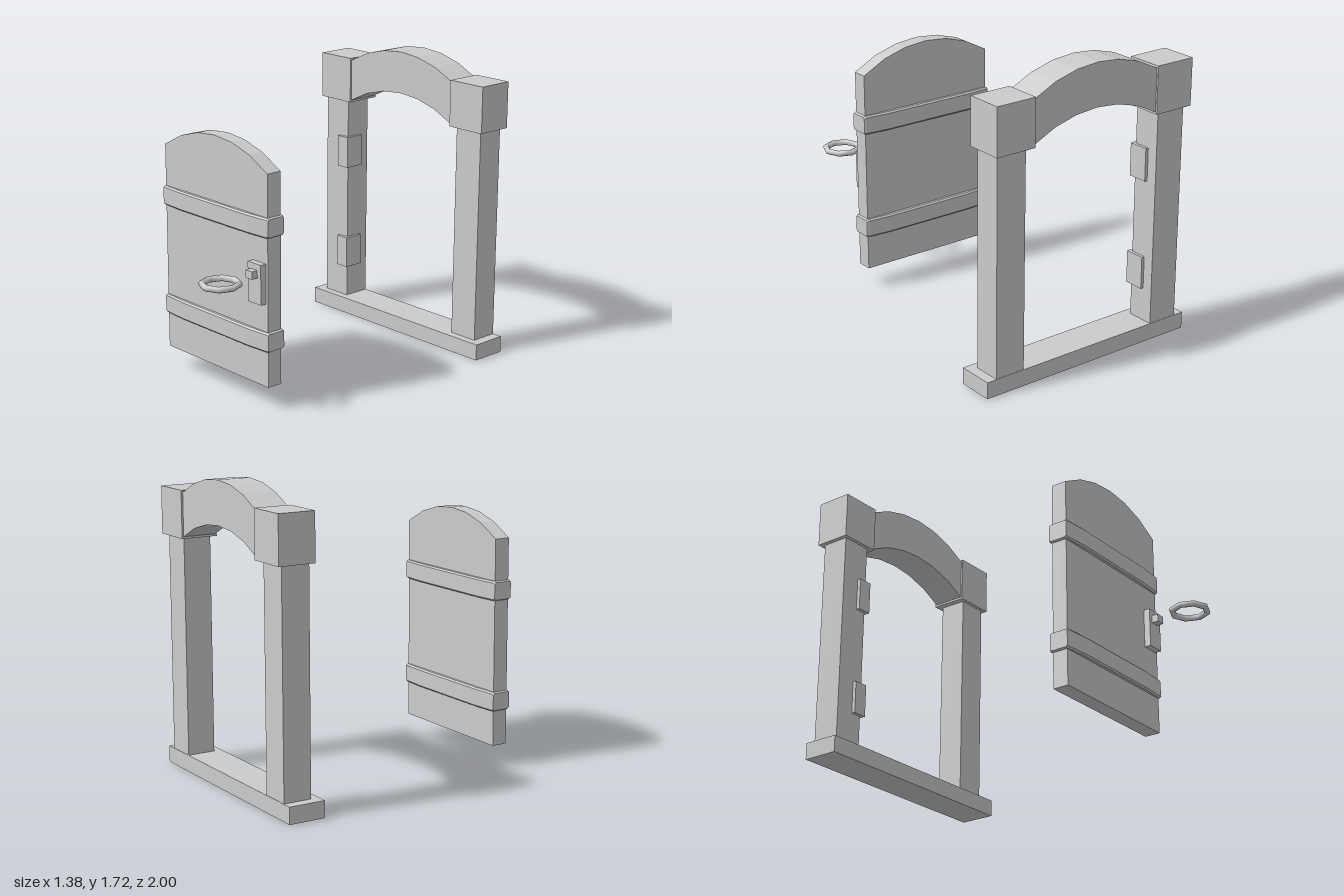
import * as THREE from 'three';
import { ConvexGeometry } from 'three/addons/geometries/ConvexGeometry.js';

const flat = new THREE.MeshStandardMaterial({ color: 0xcccccc, flatShading: true });
const smooth = new THREE.MeshStandardMaterial({ color: 0xcccccc });

function add(parent, name, geometry, material = flat) {
  const mesh = new THREE.Mesh(geometry, material);
  mesh.name = name;
  parent.add(mesh);
  return mesh;
}

// Box given by its lower and upper corner
function box(parent, name, [x0, y0, z0], [x1, y1, z1]) {
  const mesh = add(parent, name, new THREE.BoxGeometry(x1 - x0, y1 - y0, z1 - z0));
  mesh.position.set((x0 + x1) / 2, (y0 + y1) / 2, (z0 + z1) / 2);
  return mesh;
}

// Six-segment arched edge, from left to right
function arc(halfWidth, endY, midY) {
  const radius = (halfWidth ** 2 + (midY - endY) ** 2) / (2 * (midY - endY));
  return Array.from({ length: 7 }, (_, i) => {
    const x = halfWidth * (i / 3 - 1);
    return new THREE.Vector2(x, midY - radius + Math.sqrt(radius ** 2 - x ** 2));
  });
}

function slab(parent, name, points, z0, z1) {
  const geometry = new THREE.ExtrudeGeometry(new THREE.Shape(points), { depth: z1 - z0, bevelEnabled: false });
  geometry.translate(0, 0, z0);
  return add(parent, name, geometry);
}

// Chamfered strap that thins toward both ends
function strapGeometry() {
  const points = [];
  const c = 0.009;
  for (const [x, hy, hz] of [[0.443, 0.05, 0.056], [0.432, 0.056, 0.06], [0.28, 0.056, 0.071]]) {
    for (const sx of [-1, 1]) for (const sy of [-1, 1]) for (const sz of [-1, 1]) {
      points.push(new THREE.Vector3(sx * x, sy * (hy - c), sz * hz));
      points.push(new THREE.Vector3(sx * x, sy * hy, sz * (hz - c)));
    }
  }
  return new ConvexGeometry(points);
}

export function createModel() {
  const model = new THREE.Group();
  model.name = 'archedDoorway';

  // Frame
  const frame = new THREE.Group();
  frame.name = 'frame';
  model.add(frame);
  box(frame, 'sill', [-0.69, 0, -0.972], [0.69, 0.096, -0.76]);
  for (const [side, s] of [['left', 1], ['right', -1]]) {
    const post = box(frame, side + 'Post', [0.448, 0.09, -0.97], [0.63, 1.35, -0.807]);
    const block = box(frame, side + 'CornerBlock', [0.41, 1.345, -1], [0.655, 1.615, -0.785]);
    post.position.x *= s;
    block.position.x *= s;
  }
  slab(frame, 'archLintel', [...arc(0.415, 1.355, 1.47), ...arc(0.415, 1.6, 1.715).reverse()], -0.99, -0.795);

  // Hinge blocks wrapping the post's inner front corner
  for (const y of [0.29, 0.93]) box(frame, 'hinge', [-0.515, y, -0.905], [-0.43, y + 0.19, -0.785]);

  // Door leaf, set apart in front of the frame
  const door = new THREE.Group();
  door.name = 'door';
  model.add(door);
  slab(door, 'doorPanel', [
    new THREE.Vector2(-0.43, 0.13), new THREE.Vector2(0.43, 0.13), ...arc(0.43, 1.325, 1.455).reverse(),
  ], 0.523, 0.615);
  for (const y of [0.39, 1.03]) add(door, 'strap', strapGeometry()).position.set(0, y, 0.568);

  // Latch and loose pull ring
  box(door, 'latchPlate', [0.31, 0.605, 0.6], [0.415, 0.83, 0.652]);
  box(door, 'latchStub', [0.335, 0.752, 0.645], [0.387, 0.796, 0.69]);
  const ring = add(model, 'pullRing', new THREE.TorusGeometry(0.099, 0.018, 8, 8), smooth);
  ring.rotation.x = Math.PI / 2;
  ring.position.set(0.36, 0.767, 0.883);

  return model;
}
